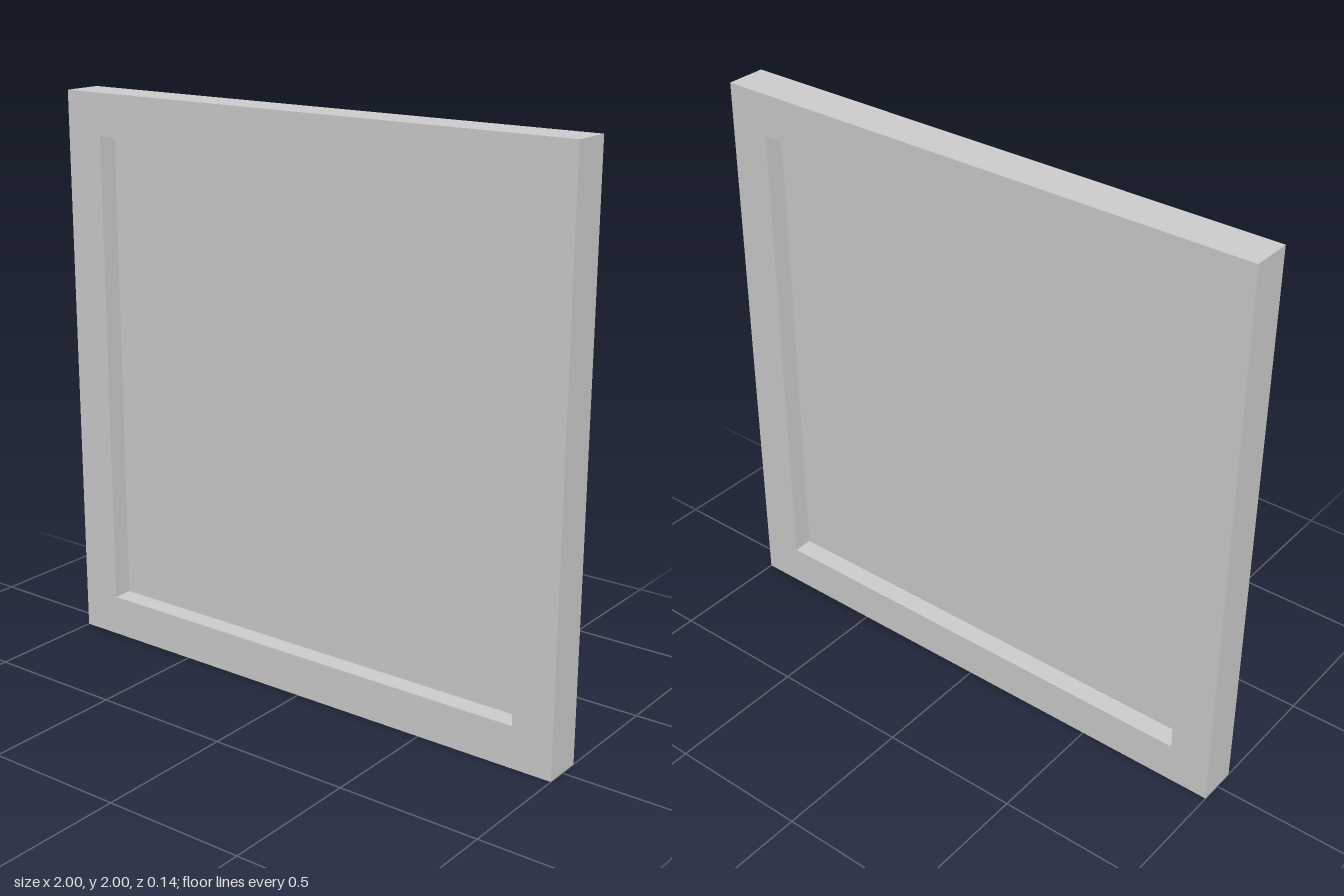
import * as THREE from 'three';

const HALF = 1;         // outer half size
const INNER = 0.853;    // half size of the opening
const DEPTH = 0.143;    // frame thickness

function squarePath(path, h) {
  path.moveTo(-h, -h);
  path.lineTo(h, -h);
  path.lineTo(h, h);
  path.lineTo(-h, h);
  path.closePath();
  return path;
}

export function createModel() {
  const group = new THREE.Group();
  group.name = 'framedPanel';

  // Square frame with a square opening
  const outline = squarePath(new THREE.Shape(), HALF);
  outline.holes.push(squarePath(new THREE.Path(), INNER));
  const frameGeometry = new THREE.ExtrudeGeometry(outline, { depth: DEPTH, bevelEnabled: false });
  frameGeometry.translate(0, HALF, -DEPTH / 2);
  const frame = new THREE.Mesh(frameGeometry, new THREE.MeshStandardMaterial({ color: 0xcccccc }));
  frame.name = 'frame';
  group.add(frame);

  // Thin pane halfway through the frame, recessed equally on both sides
  const pane = new THREE.Mesh(
    new THREE.PlaneGeometry(INNER * 2, INNER * 2),
    new THREE.MeshStandardMaterial({ color: 0xcccccc, side: THREE.DoubleSide })
  );
  pane.name = 'pane';
  pane.position.y = HALF;
  group.add(pane);

  return group;
}
